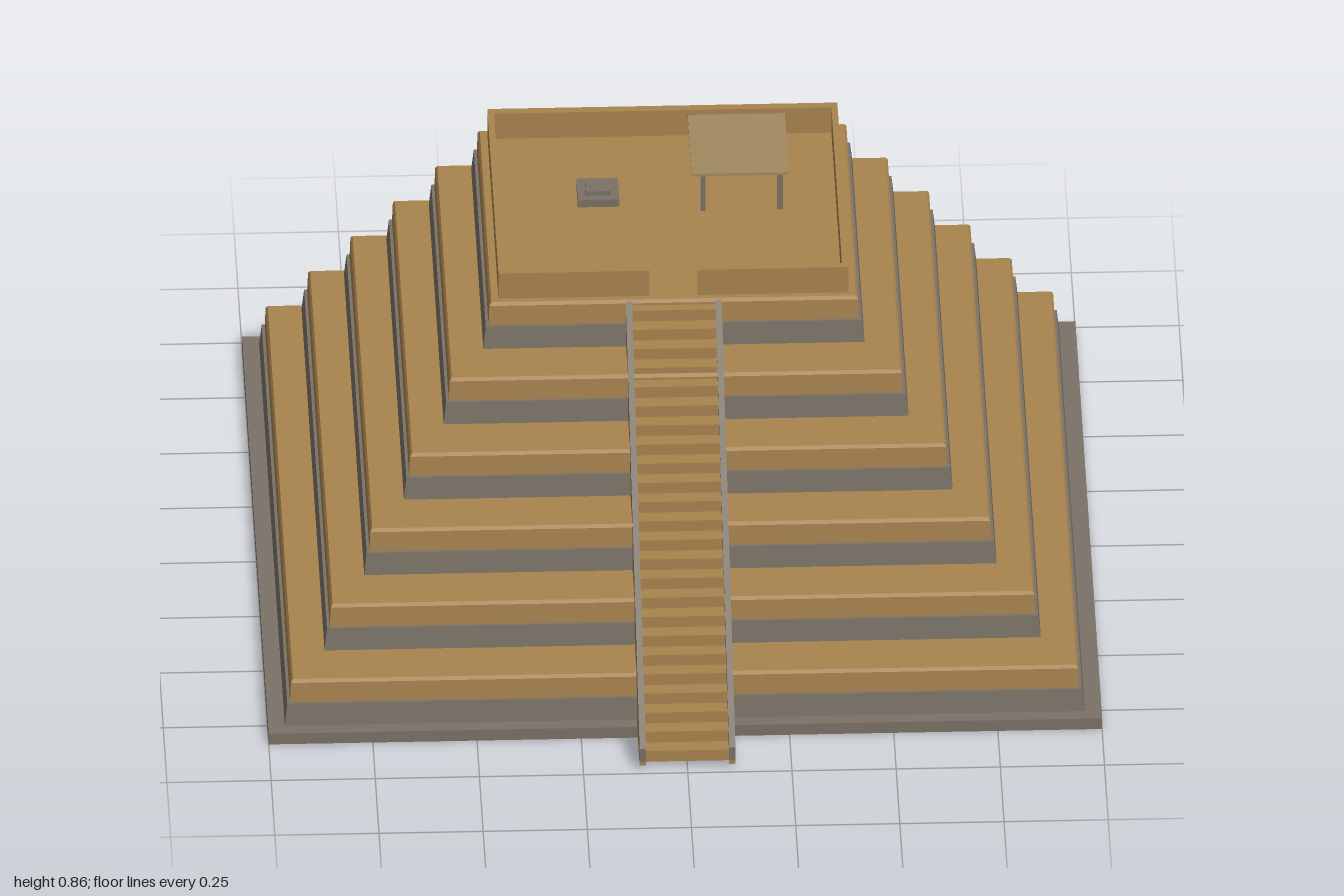
import * as THREE from 'three';

export function createModel() {
  const root = new THREE.Group();
  root.name = 'steppedPyramid';
  const mat = (name, color, extra = {}) => Object.assign(new THREE.MeshStandardMaterial({ color, ...extra }), { name });
  const sand = mat('sandstone', 0xa9844f);
  const grey = mat('greyStone', 0x7b7267);
  const cloth = mat('canopyCloth', 0xa18a61);

  const add = (name, geo, material, parent = root) => {
    const mesh = new THREE.Mesh(geo, material);
    mesh.name = name;
    parent.add(mesh);
    return mesh;
  };

  // Box given by its limits, with the top edges drawn in by taper
  function block(name, material, [x0, x1], [y0, y1], [z0, z1], taper = 0, parent = root) {
    const w = x1 - x0, d = z1 - z0;
    let geo = new THREE.BoxGeometry(w, y1 - y0, d);
    const p = geo.attributes.position;
    for (let i = 0; i < p.count; i++) {
      if (p.getY(i) > 0) {
        p.setX(i, p.getX(i) * (1 - 2 * taper / w));
        p.setZ(i, p.getZ(i) * (1 - 2 * taper / d));
      }
    }
    geo.computeVertexNormals();
    geo.translate((x0 + x1) / 2, (y0 + y1) / 2, (z0 + z1) / 2);
    return add(name, geo, material, parent);
  }

  // Extrusion of a (z, y) outline across x
  function sideProfile(name, material, points, x0, x1, parent) {
    const shape = new THREE.Shape(points.map(([z, y]) => new THREE.Vector2(-z, y)));
    const geo = new THREE.ExtrudeGeometry(shape, { depth: x1 - x0, bevelEnabled: false });
    geo.rotateY(Math.PI / 2).translate(x0, 0, 0);
    return add(name, geo, material, parent);
  }

  // Ground plinth
  block('plinth', grey, [-1, 1], [0, 0.03], [-0.98, 0.835]);

  // Six terraces: grey band below, sandstone band above with a thin lip
  for (let i = 0; i < 6; i++) {
    const tier = new THREE.Group();
    tier.name = 'terrace' + (i + 1);
    root.add(tier);
    const y = 0.03 + i * 0.119;
    const hx = 0.947 - i * 0.1005;
    const back = -0.932 + i * 0.0365;
    const front = 0.787 - i * 0.148;
    const g = 0.013;
    block('greyBand', grey, [-hx - g, hx + g], [y, y + 0.058], [back - g, front + g], 0.006, tier);
    block('sandBand', sand, [-hx, hx], [y + 0.058, y + 0.111], [back, front], 0.002, tier);
    block('sandLip', sand, [-hx + 0.002, hx - 0.002], [y + 0.111, y + 0.119], [back + 0.002, front - 0.002], 0.005, tier);
  }

  // Parapet around the summit, open at the stair
  const floor = 0.744, top = 0.815;
  const parapet = new THREE.Group();
  parapet.name = 'parapet';
  root.add(parapet);
  block('backWall', sand, [-0.42, 0.42], [floor, top], [-0.727, -0.705], 0, parapet);
  for (const s of [-1, 1]) {
    const span = (a, b) => (s < 0 ? [-b, -a] : [a, b]);
    block('sideWall', sand, span(0.405, 0.42), [floor, top], [-0.705, 0.025], 0, parapet);
    block('frontWall', sand, span(0.058, 0.405), [floor, top], [0.005, 0.025], 0, parapet);
    block('gatePost', grey, span(0.096, 0.116), [floor, 0.765], [-0.015, 0.005], 0, parapet);
  }

  // Stair flight with a solid core, and rails on both sides
  const stair = new THREE.Group();
  stair.name = 'stairway';
  root.add(stair);
  const steps = 24, zFoot = 0.97, zHead = 0.03, yFoot = 0.015, yHead = 0.73;
  const run = (zFoot - zHead) / steps, rise = (yHead - yFoot) / steps;
  const outline = [[zHead, yFoot], [zFoot, yFoot]];
  for (let i = 0; i < steps; i++) {
    const z = zFoot - i * run, y = yFoot + (i + 1) * rise;
    outline.push([z, y], [z - run, y]);
  }
  sideProfile('steps', sand, outline, -0.1, 0.1, stair);
  for (const x of [-0.115, 0.1]) {
    sideProfile('stairRail', grey, [[0.982, 0.022], [0.982, 0.058], [0.04, 0.742], [0.04, 0.706]], x, x + 0.015, stair);
    sideProfile('railFooting', sand, [[0.982, 0.012], [0.982, 0.022], [0.04, 0.706], [0.04, 0.012]], x, x + 0.015, stair);
  }

  // Square altar on the summit
  const altar = new THREE.Group();
  altar.name = 'altar';
  root.add(altar);
  block('altarBase', grey, [-0.215, -0.115], [floor, 0.764], [-0.485, -0.385], 0, altar);
  block('altarTop', grey, [-0.195, -0.135], [0.764, 0.776], [-0.465, -0.405], 0, altar);

  // Flat canopy on four thin posts
  const canopy = new THREE.Group();
  canopy.name = 'canopy';
  root.add(canopy);
  block('canopyRoof', cloth, [0.057, 0.29], [0.85, 0.857], [-0.615, -0.345], 0, canopy);
  for (const x of [0.085, 0.27]) {
    for (const z of [-0.59, -0.365]) {
      block('canopyPost', grey, [x - 0.006, x + 0.006], [floor, 0.85], [z - 0.006, z + 0.006], 0, canopy);
    }
  }
  return root;
}
